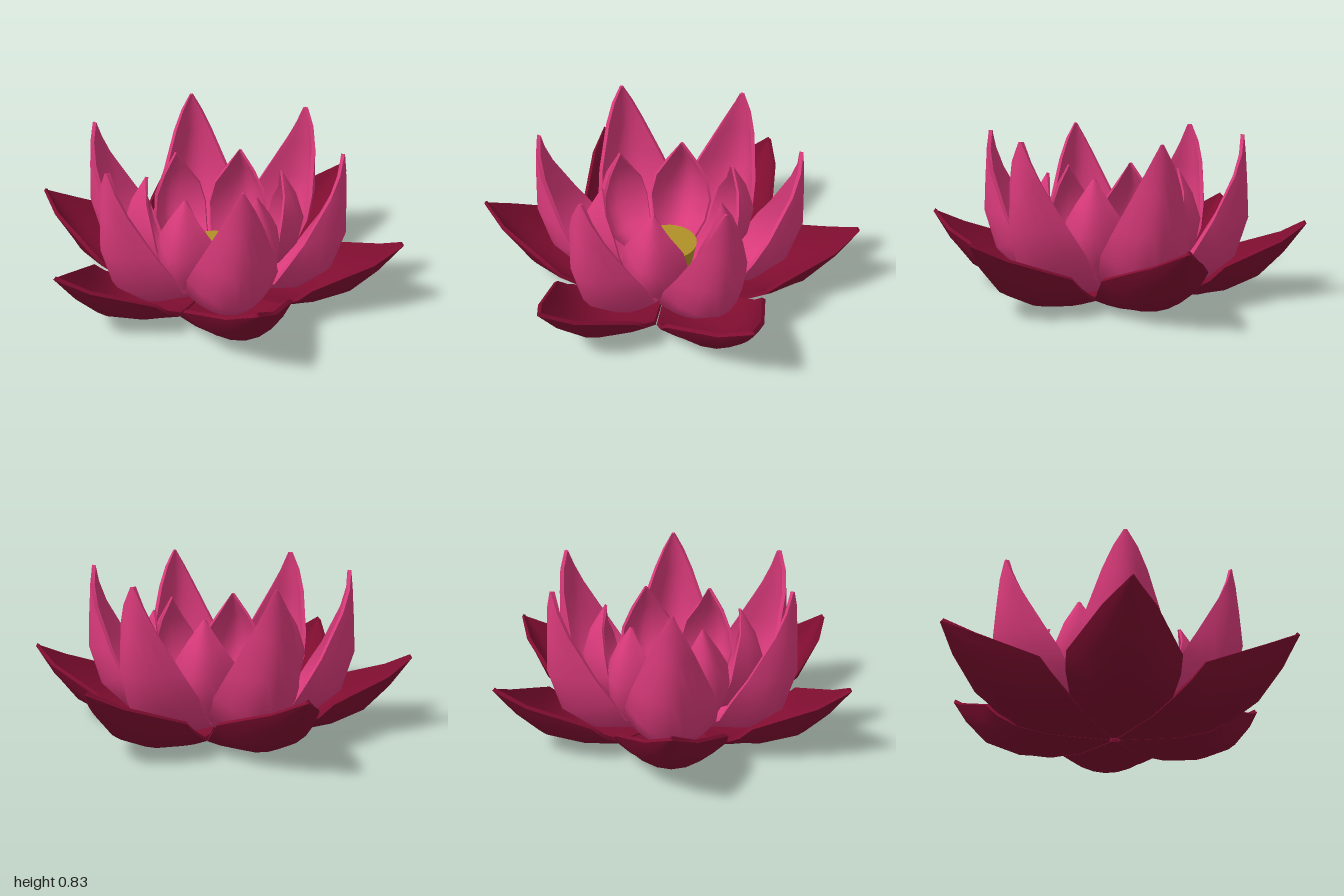
import * as THREE from 'three';

const COLS = 8;

// Each row is a cross-section: [centre r, centre y, edge r, edge half-width, edge y]
const OUTER = [
  [0.03, 0, 0.03, 0.015, 0], [0.3, 0, 0.28, 0.16, 0.02], [0.47, 0.003, 0.43, 0.245, 0.06],
  [0.6, 0.027, 0.54, 0.27, 0.13], [0.77, 0.11, 0.61, 0.272, 0.2], [0.89, 0.235, 0.88, 0.12, 0.31],
  [1.0, 0.385, 1.0, 0.006, 0.385],
];
const MIDDLE = [
  [0.03, 0.025, 0.03, 0.015, 0.025], [0.3, 0.035, 0.26, 0.15, 0.07], [0.5, 0.08, 0.4, 0.22, 0.17],
  [0.64, 0.2, 0.47, 0.23, 0.29], [0.705, 0.41, 0.54, 0.195, 0.41], [0.695, 0.6, 0.64, 0.11, 0.63],
  [0.685, 0.74, 0.67, 0.06, 0.74], [0.675, 0.833, 0.675, 0.008, 0.833],
];
const INNER = [
  [0.03, 0.05, 0.03, 0.015, 0.05], [0.2, 0.06, 0.18, 0.1, 0.09], [0.36, 0.11, 0.28, 0.155, 0.18],
  [0.45, 0.22, 0.32, 0.175, 0.3], [0.48, 0.36, 0.34, 0.15, 0.42], [0.435, 0.5, 0.36, 0.085, 0.52],
  [0.355, 0.633, 0.355, 0.006, 0.633],
];

// Cupped petal pointing to +z: outer skin, inner skin and a sharp rim
function petalGeometry(rows, thickness) {
  const w = COLS + 1;
  const last = rows.length - 1;
  const skin = [];
  const faces = [];
  rows.forEach(([r, y, edgeR, half, edgeY], i) => {
    for (let j = 0; j < w; j++) {
      const u = (j / COLS) * 2 - 1;
      skin.push(half * u, y + (edgeY - y) * u * u, r + (edgeR - r) * u * u);
      if (i < last && j < COLS) {
        const a = i * w + j;
        faces.push(a, a + 1, a + w, a + 1, a + w + 1, a + w);
      }
    }
  });
  const sheet = new THREE.BufferGeometry();
  sheet.setAttribute('position', new THREE.Float32BufferAttribute(skin, 3));
  sheet.setIndex(faces);
  sheet.computeVertexNormals();
  const normals = sheet.attributes.normal.array;

  const inside = skin.map((v, k) => v - normals[k] * thickness);
  const positions = [...skin, ...inside];
  const index = [...faces];
  const count = skin.length / 3;
  for (let k = 0; k < faces.length; k += 3) {
    index.push(faces[k] + count, faces[k + 2] + count, faces[k + 1] + count);
  }

  // Walk round the border and join both skins with separate vertices
  const border = [];
  for (let j = 0; j < COLS; j++) border.push(j);
  for (let i = 0; i < last; i++) border.push(i * w + COLS);
  for (let j = COLS; j > 0; j--) border.push(last * w + j);
  for (let i = last; i > 0; i--) border.push(i * w);
  const start = positions.length / 3;
  for (const b of border) {
    positions.push(...skin.slice(b * 3, b * 3 + 3), ...inside.slice(b * 3, b * 3 + 3));
  }
  border.forEach((_, k) => {
    const a = start + k * 2;
    const b = start + ((k + 1) % border.length) * 2;
    index.push(a, a + 1, b, b, a + 1, b + 1);
  });

  const geometry = new THREE.BufferGeometry();
  geometry.setAttribute('position', new THREE.Float32BufferAttribute(positions, 3));
  geometry.setIndex(index);
  geometry.computeVertexNormals();
  return geometry;
}

// Six equal petals around the y axis
function petalRing(name, rows, thickness, color, startDegrees) {
  const ring = new THREE.Group();
  ring.name = name + 'Ring';
  const geometry = petalGeometry(rows, thickness);
  const material = new THREE.MeshStandardMaterial({ color, side: THREE.DoubleSide });
  for (let i = 0; i < 6; i++) {
    const petal = new THREE.Mesh(geometry, material);
    petal.name = name;
    petal.rotation.y = THREE.MathUtils.degToRad(startDegrees + i * 60);
    ring.add(petal);
  }
  return ring;
}

export function createModel() {
  const flower = new THREE.Group();
  flower.name = 'waterLily';
  flower.add(
    petalRing('outerPetal', OUTER, 0.02, 0x7f0d30, 0),
    petalRing('middlePetal', MIDDLE, 0.02, 0xd93a7a, 0),
    petalRing('innerPetal', INNER, 0.014, 0xd93a7a, 25),
  );

  // Flat round flower centre
  const centre = new THREE.Mesh(
    new THREE.CylinderGeometry(0.153, 0.12, 0.17, 32),
    new THREE.MeshStandardMaterial({ color: 0xb09028 }),
  );
  centre.name = 'flowerCentre';
  centre.position.y = 0.135;
  flower.add(centre);
  return flower;
}
